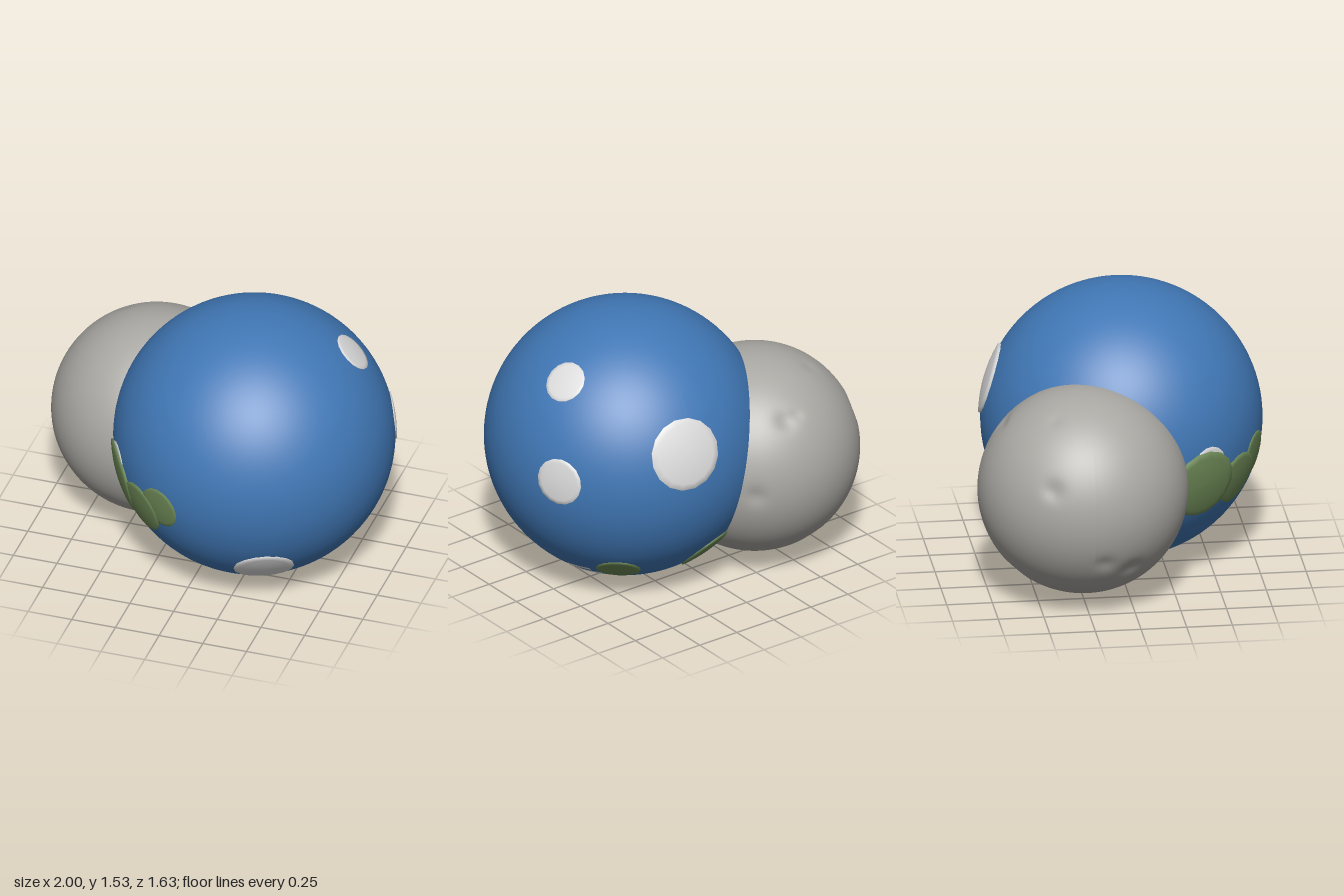
import * as THREE from 'three';

const mat = (name, color, side = THREE.FrontSide) => {
  const m = new THREE.MeshStandardMaterial({ color, side });
  m.name = name;
  return m;
};

const BLUE_R = 0.767;
const GREY_R = 0.573;

// Thin curved patch hugging the blue sphere, with a short rim, pole along +y
function patchGeometry(radius, lift) {
  const R = BLUE_R + lift;
  const edge = Math.asin(radius / R);
  const points = [new THREE.Vector2((R - lift - 0.004) * Math.sin(edge), (R - lift - 0.004) * Math.cos(edge))];
  for (let i = 6; i >= 0; i--) {
    const a = (edge * i) / 6;
    points.push(new THREE.Vector2(R * Math.sin(a), R * Math.cos(a)));
  }
  return new THREE.LatheGeometry(points, 16);
}

// Sphere with shallow round dents: [x, y, z, angular width, depth]
function dentedSphere(radius, dents) {
  const geo = new THREE.SphereGeometry(radius, 128, 96);
  const pos = geo.attributes.position;
  const v = new THREE.Vector3();
  const centres = dents.map((d) => new THREE.Vector3(d[0], d[1], d[2]).normalize());
  for (let i = 0; i < pos.count; i++) {
    v.fromBufferAttribute(pos, i).normalize();
    let r = radius;
    dents.forEach((d, k) => {
      const t = v.angleTo(centres[k]) / d[3];
      r -= d[4] * Math.exp(-t * t * 2);
    });
    v.multiplyScalar(r);
    pos.setXYZ(i, v.x, v.y, v.z);
  }
  geo.computeVertexNormals();
  return geo;
}

export function createModel() {
  const model = new THREE.Group();
  model.name = 'twoSpheres';
  const blue = mat('ocean blue', 0x4077b5);
  const grey = mat('rock grey', 0xaaa8a3);
  const white = mat('cloud white', 0xdcdcdc, THREE.DoubleSide);
  const green = mat('land green', 0x6e8a57, THREE.DoubleSide);

  const add = (parent, name, geo, material) => {
    const mesh = new THREE.Mesh(geo, material);
    mesh.name = name;
    parent.add(mesh);
    return mesh;
  };

  // Large blue planet
  const planet = new THREE.Group();
  planet.name = 'planet';
  planet.position.set(0.23, 0.77, 0.05);
  model.add(planet);
  add(planet, 'ocean', new THREE.SphereGeometry(BLUE_R, 96, 64), blue);

  // Land and cloud patches: direction, radius, lift above the ocean
  const up = new THREE.Vector3(0, 1, 0);
  const addPatches = (name, material, list) => list.forEach(([x, y, z, r, lift]) => {
    const mesh = add(planet, name, patchGeometry(r, lift), material);
    mesh.quaternion.setFromUnitVectors(up, new THREE.Vector3(x, y, z).normalize());
  });
  addPatches('cloud', white, [
    [0.51, 0.54, -0.15, 0.115, 0.006],
    [0.69, 0.06, -0.33, 0.132, 0.007],
    [0.12, 0.215, -0.715, 0.2, 0.012],
    [0.23, -0.48, 0.53, 0.165, 0.009],
    [-0.65, -0.06, 0.4, 0.11, 0.004],
  ]);
  addPatches('land', green, [
    [0.34, -0.56, -0.4, 0.122, 0.006],
    [-0.187, -0.547, -0.505, 0.165, 0.009],
    [-0.32, -0.12, 0.686, 0.122, 0.006],
    [-0.46, -0.21, 0.576, 0.153, 0.009],
    [-0.65, -0.17, 0.37, 0.2, 0.013],
  ]);

  // Broken cloud wisps along latitudes: y low, y high, z from, z to
  [
    [0.17, 0.198, -0.21, -0.08],
    [0.118, 0.155, -0.215, -0.02],
    [0.088, 0.096, -0.15, -0.06],
  ].forEach(([y0, y1, z0, z1]) => {
    const R = BLUE_R + 0.003;
    const t0 = Math.acos((y1 - 0.77) / R);
    const t1 = Math.acos((y0 - 0.77) / R);
    const ring = R * Math.sin((t0 + t1) / 2);
    const lon = (z) => Math.PI - Math.asin((z - 0.05) / ring);
    const start = lon(z1);
    add(planet, 'cloudWisp',
      new THREE.SphereGeometry(R, 10, 3, start, lon(z0) - start, t0, t1 - t0), white);
  });

  // Smaller grey moon with shallow craters
  const moon = add(model, 'moon', dentedSphere(GREY_R, [
    [-0.86, 0.31, -0.4, 0.13, 0.016],
    [-0.41, 0.86, -0.32, 0.1, 0.006],
    [0.18, 0.64, -0.75, 0.13, 0.016],
    [0.05, 0.66, -0.75, 0.08, 0.008],
    [0.58, -0.03, -0.81, 0.13, 0.016],
    [-0.74, -0.56, 0.37, 0.16, 0.016],
    [-0.88, -0.44, 0.1, 0.12, 0.012],
    [-0.21, -0.64, 0.74, 0.1, 0.006],
    [0.3, -0.79, -0.54, 0.11, 0.012],
    [-0.17, -0.72, -0.67, 0.1, 0.01],
  ]), grey);
  moon.position.set(-0.427, 0.62, -0.245);

  return model;
}
